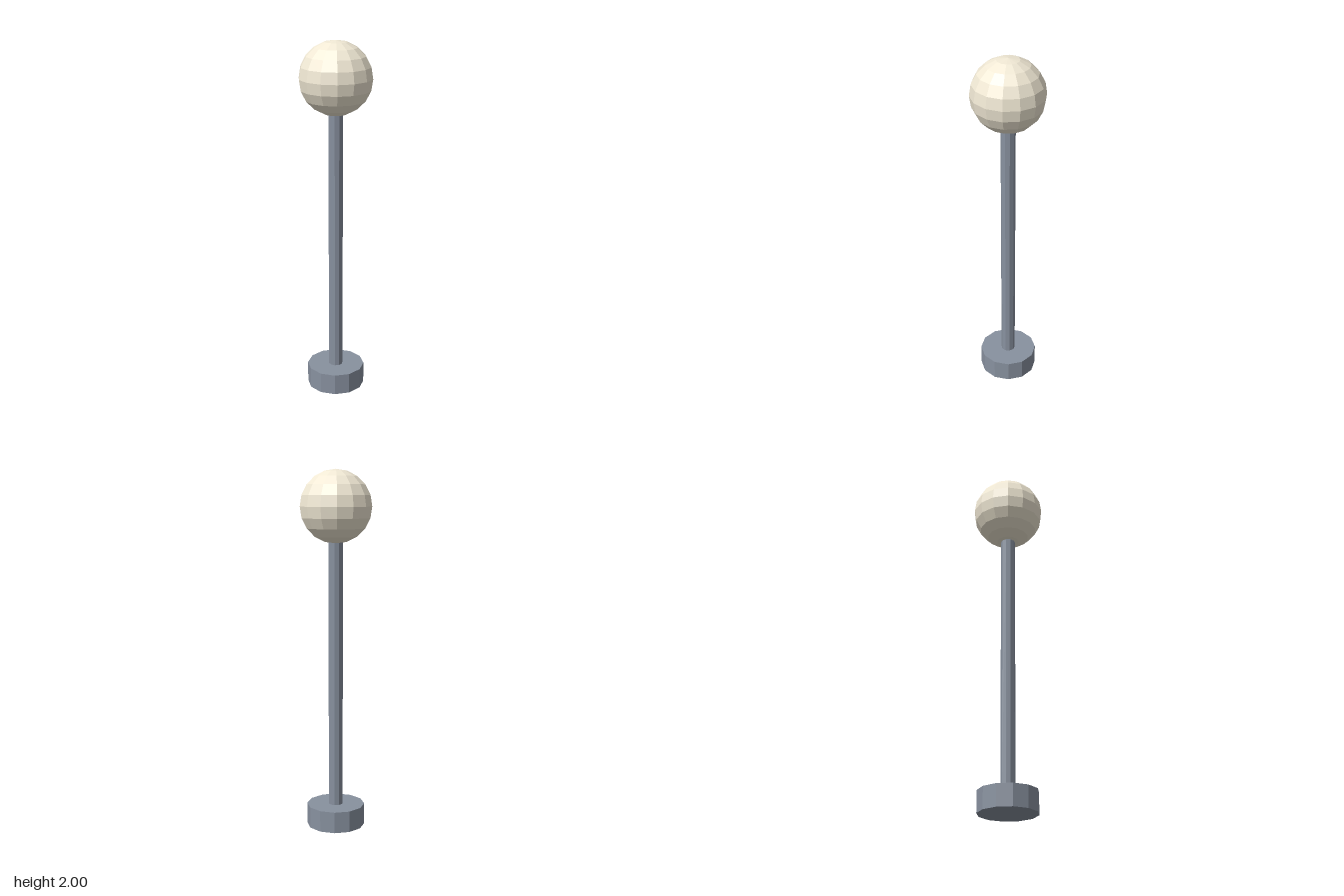
import * as THREE from 'three';

export function createModel() {
  const group = new THREE.Group();
  const metal = new THREE.MeshStandardMaterial({ color: 0x88919f, flatShading: true });
  const glass = new THREE.MeshStandardMaterial({ color: 0xf0e8d4, flatShading: true });

  const add = (name, geometry, material, y) => {
    const mesh = new THREE.Mesh(geometry, material);
    mesh.name = name;
    mesh.position.y = y;
    group.add(mesh);
    return mesh;
  };

  // Twelve-sided foot
  add('base', new THREE.CylinderGeometry(0.163, 0.163, 0.12, 12), metal, 0.06);

  // Slender post, its top end just inside the globe
  const bottom = 0.1, top = 1.62;
  add('post', new THREE.CylinderGeometry(0.04, 0.04, top - bottom, 10), metal, (bottom + top) / 2);

  // Faceted lamp globe, turned so a vertex points to the front
  const globe = add('globe', new THREE.SphereGeometry(0.2, 14, 10), glass, 1.8);
  globe.rotation.y = Math.PI / 2;

  return group;
}
